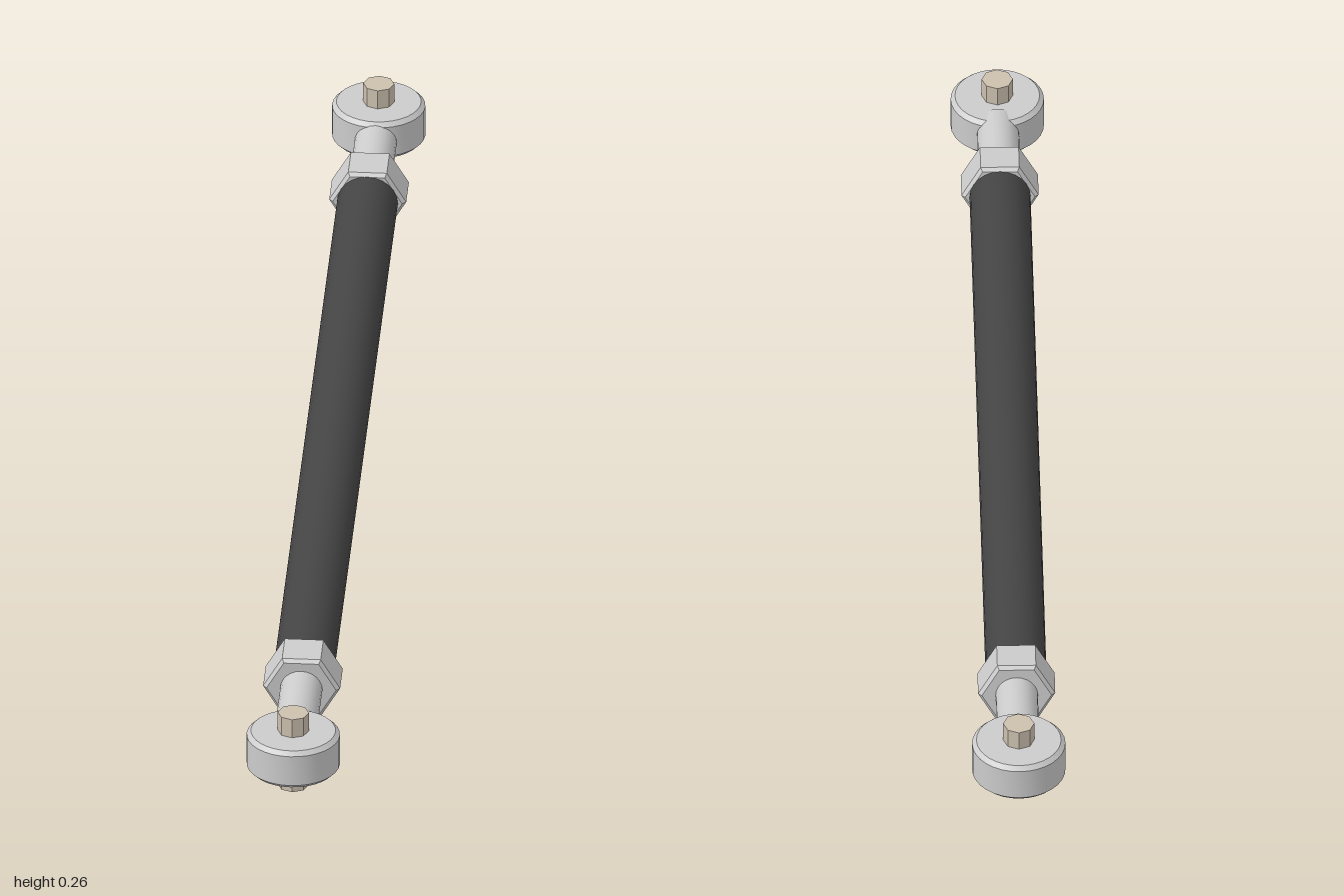
import * as THREE from 'three';
import { toCreasedNormals } from 'three/addons/utils/BufferGeometryUtils.js';

const steel = new THREE.MeshStandardMaterial({ color: 0xcccccc });
const black = new THREE.MeshStandardMaterial({ color: 0x444444 });
const brass = new THREE.MeshStandardMaterial({ color: 0xccc0ae });

// Closed solid turned around y, with bevelled rims and sharp edges kept
function turned(name, radius, height, bevel, sides, material, crease = 0.5, phase = 0) {
  const h = height / 2, c = bevel;
  const profile = [[0, -h], [radius - c, -h], [radius, -h + c], [radius, h - c], [radius - c, h], [0, h]]
    .map(([x, y]) => new THREE.Vector2(x, y));
  const geometry = new THREE.LatheGeometry(profile, sides, phase);
  const mesh = new THREE.Mesh(toCreasedNormals(geometry, crease), material);
  mesh.name = name;
  return mesh;
}

export function createModel() {
  const model = new THREE.Group();
  model.name = 'linkRod';

  const endZ = 0.925, midY = 0.13, rise = 0.063;
  const tilt = Math.atan2(rise, endZ);

  // Sloping rod: local y runs from the high back end to the low front end
  const rod = new THREE.Group();
  rod.name = 'rod';
  rod.position.y = midY;
  rod.rotation.x = Math.PI / 2 + tilt;
  model.add(rod);

  const tube = new THREE.Mesh(new THREE.CylinderGeometry(0.049, 0.049, 1.38, 24), black);
  tube.name = 'tube';
  rod.add(tube);

  for (const [side, s] of [['front', 1], ['back', -1]]) {
    // Hexagonal lock nut with a corner at each side
    const nut = turned(side + 'LockNut', 0.062, 0.07, 0.006, 6, steel, 0.1, Math.PI / 2);
    nut.position.y = s * 0.717;
    rod.add(nut);

    // Threaded shank running into the rod end
    const shank = new THREE.Mesh(new THREE.CylinderGeometry(0.034, 0.034, 0.19, 24), steel);
    shank.name = side + 'Shank';
    shank.position.y = s * 0.79;
    rod.add(shank);

    // Level eye with an upright pin through it
    const rodEnd = new THREE.Group();
    rodEnd.name = side + 'RodEnd';
    rodEnd.position.set(0, midY - s * rise, s * endZ);
    rodEnd.add(turned('eye', 0.075, 0.067, 0.007, 32, steel));
    const pin = new THREE.Mesh(
      toCreasedNormals(new THREE.CylinderGeometry(0.025, 0.025, 0.133, 8), 0.3), brass);
    pin.name = 'pin';
    rodEnd.add(pin);
    model.add(rodEnd);
  }
  return model;
}
